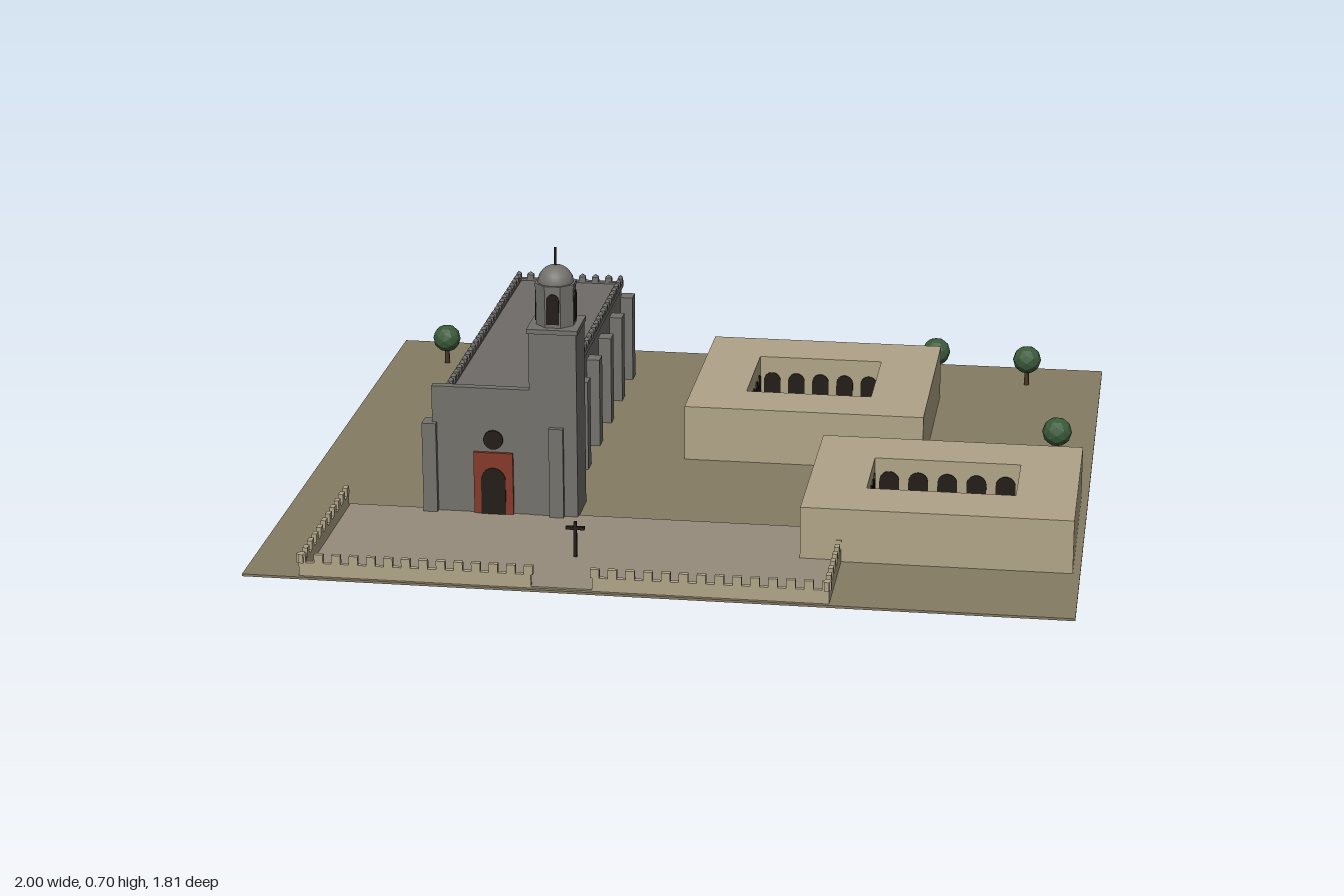
import * as THREE from 'three';
import { mergeGeometries } from 'three/addons/utils/BufferGeometryUtils.js';

const mat = (color, flatShading = false) => new THREE.MeshStandardMaterial({ color, flatShading });
const stone = mat(0x74716c), roofGrey = mat(0x6e6b68), sand = mat(0xb0a488), earth = mat(0x857b63);
const paving = mat(0x978c7b), red = mat(0x84382a), dark = mat(0x221c17), leaf = mat(0x3a5a3a, true), bark = mat(0x4a3624);

export function createModel() {
  const model = new THREE.Group();

  const add = (name, geometry, material, parent = model) => {
    const mesh = new THREE.Mesh(geometry, material);
    mesh.name = name;
    parent.add(mesh);
    return mesh;
  };
  // Box geometry given by its extents
  const block = (x0, x1, y0, y1, z0, z1) =>
    new THREE.BoxGeometry(x1 - x0, y1 - y0, z1 - z0).translate((x0 + x1) / 2, (y0 + y1) / 2, (z0 + z1) / 2);
  // Thin round-headed panel standing at a point, turned to face a direction
  const arch = (w, h, x, y, z, turn = 0, depth = 0.006) => {
    const s = new THREE.Shape();
    s.moveTo(-w / 2, 0).lineTo(w / 2, 0).lineTo(w / 2, h - w / 2);
    s.absarc(0, h - w / 2, w / 2, 0, Math.PI, false);
    s.closePath();
    return new THREE.ExtrudeGeometry(s, { depth, bevelEnabled: false, curveSegments: 8 })
      .translate(0, 0, -depth / 2).rotateY(turn).translate(x, y, z);
  };
  // Evenly spaced merlons along a straight line
  const merlons = (x0, z0, x1, z1, y, step, w, h, d, pointed = false) => {
    const list = [];
    const n = Math.round(Math.hypot(x1 - x0, z1 - z0) / step);
    const turn = -Math.atan2(z1 - z0, x1 - x0);
    for (let i = 0; i <= n; i++) {
      const t = i / n, x = x0 + (x1 - x0) * t, z = z0 + (z1 - z0) * t;
      const body = pointed ? h * 0.6 : h;
      list.push(new THREE.BoxGeometry(w, body, d).rotateY(turn).translate(x, y + body / 2, z));
      if (pointed) {
        list.push(new THREE.ConeGeometry(0.707, h - body, 4).rotateY(Math.PI / 4).scale(w, 1, d)
          .rotateY(turn).translate(x, y + (h + body) / 2, z));
      }
    }
    return list;
  };

  // Ground and forecourt paving
  add('ground', block(-1, 1, 0, 0.006, -0.91, 0.9), earth);
  add('forecourtPaving', block(-0.86, 0.42, 0.004, 0.01, 0.41, 0.89), paving);

  // Forecourt wall with a gateway in the front run
  const wall = new THREE.Group();
  wall.name = 'forecourtWall';
  model.add(wall);
  const runs = [[-0.855, 0.885, -0.3, 0.885], [-0.14, 0.885, 0.415, 0.885],
    [-0.855, 0.43, -0.855, 0.885], [0.415, 0.43, 0.415, 0.885]];
  for (const [x0, z0, x1, z1] of runs) {
    add('wallRun', block(x0 - 0.006, x1 + 0.006, 0, 0.04, z0 - 0.006, z1 + 0.006), sand, wall);
    add('wallMerlons', mergeGeometries(merlons(x0, z0, x1, z1, 0.04, 0.044, 0.022, 0.022, 0.012)), sand, wall);
  }

  // Church nave, roof and crenellated parapet
  const church = new THREE.Group();
  church.name = 'church';
  model.add(church);
  add('nave', block(-0.62, -0.33, 0, 0.275, -0.675, 0.41), stone, church);
  add('naveRoof', block(-0.61, -0.34, 0.275, 0.28, -0.665, 0.4), roofGrey, church);
  add('parapet', mergeGeometries([
    block(-0.625, -0.61, 0.27, 0.285, -0.68, 0.41), block(-0.34, -0.325, 0.27, 0.285, -0.68, 0.41),
    block(-0.61, -0.34, 0.27, 0.285, -0.68, -0.665)]), stone, church);
  add('parapetMerlons', mergeGeometries([
    ...merlons(-0.618, -0.672, -0.618, 0.39, 0.285, 0.036, 0.018, 0.02, 0.013, true),
    ...merlons(-0.332, -0.672, -0.332, 0.28, 0.285, 0.036, 0.018, 0.02, 0.013, true),
    ...merlons(-0.585, -0.672, -0.365, -0.672, 0.285, 0.036, 0.018, 0.02, 0.013, true)]), stone, church);

  // Buttresses on both flanks with a window in each bay
  const bay = 0.182;
  const buttresses = [], windows = [];
  for (const side of [-1, 1]) {
    for (let i = 0; i < 7; i++) {
      const x = -0.475 + side * 0.161, z = -0.677 + i * bay;
      buttresses.push(block(x - 0.018, x + 0.018, 0, 0.245, z - 0.022, z + 0.022));
      if (i < 6) windows.push(arch(0.024, 0.06, -0.475 + side * 0.146, 0.15, z + bay / 2, side * Math.PI / 2));
    }
  }
  add('buttresses', mergeGeometries(buttresses), stone, church);
  add('naveWindows', mergeGeometries(windows), dark, church);

  // Facade with portal and round window
  add('facade', block(-0.63, -0.32, 0, 0.34, 0.4, 0.422), stone, church);
  add('portalSurround', block(-0.525, -0.425, 0.006, 0.172, 0.42, 0.43), red, church);
  add('portalDoor', arch(0.062, 0.122, -0.475, 0.01, 0.43), dark, church);
  add('roundWindow', new THREE.CylinderGeometry(0.025, 0.025, 0.008, 24).rotateX(Math.PI / 2)
    .translate(-0.475, 0.205, 0.423), dark, church);

  // Bell tower
  const tower = new THREE.Group();
  tower.name = 'bellTower';
  tower.position.set(-0.322, 0, 0.363);
  church.add(tower);
  add('towerShaft', block(-0.06, 0.06, 0, 0.49, -0.061, 0.061), stone, tower);
  add('towerCornice', block(-0.064, 0.064, 0.489, 0.501, -0.065, 0.065), stone, tower);
  const octagon = (r, y0, y1) => new THREE.CylinderGeometry(r, r, y1 - y0, 8, 1)
    .rotateY(Math.PI / 8).translate(0, (y0 + y1) / 2, 0);
  add('belfry', octagon(0.051, 0.5, 0.602), mat(0x74716c, true), tower);
  add('belfryCornice', octagon(0.053, 0.598, 0.608), mat(0x74716c, true), tower);
  const openings = [0, 1, 2, 3].map(i => arch(0.032, 0.078, 0, 0.51, 0.047, 0).rotateY(i * Math.PI / 2));
  add('belfryOpenings', mergeGeometries(openings), dark, tower);
  add('dome', new THREE.SphereGeometry(0.045, 24, 8, 0, Math.PI * 2, 0, Math.PI / 2)
    .translate(0, 0.606, 0), stone, tower);
  add('finial', new THREE.CylinderGeometry(0.003, 0.003, 0.048, 8).translate(0, 0.672, 0), dark, tower);

  // Courtyard buildings: hollow block with arcades around the court
  const courtyardBuilding = (name, [x0, x1, z0, z1], [a0, a1, c0, c1], height) => {
    const group = new THREE.Group();
    group.name = name;
    model.add(group);
    const ring = (s, l, r, n, f) => s.moveTo(l, -f).lineTo(r, -f).lineTo(r, -n).lineTo(l, -n).closePath();
    const plan = new THREE.Shape(), hole = new THREE.Path();
    ring(plan, x0, x1, z0, z1);
    ring(hole, a0, a1, c0, c1);
    plan.holes.push(hole);
    add('walls', new THREE.ExtrudeGeometry(plan, { depth: height, bevelEnabled: false })
      .rotateX(-Math.PI / 2), sand, group);
    const panels = [], n = 5;
    const w = (a1 - a0) / n, d = (c1 - c0) / n;
    for (let i = 0; i < n; i++) {
      const x = a0 + w * (i + 0.5), z = c0 + d * (i + 0.5);
      panels.push(arch(w * 0.68, 0.1, x, 0.008, c0, 0), arch(w * 0.68, 0.1, x, 0.008, c1, Math.PI));
      panels.push(arch(d * 0.68, 0.1, a0, 0.008, z, Math.PI / 2), arch(d * 0.68, 0.1, a1, 0.008, z, -Math.PI / 2));
    }
    add('arcadeOpenings', mergeGeometries(panels), dark, group);
  };
  courtyardBuilding('rearCloister', [-0.06, 0.565, -0.63, -0.04], [0.085, 0.415, -0.475, -0.185], 0.152);
  courtyardBuilding('frontCloister', [0.32, 0.982, 0.1, 0.62], [0.467, 0.833, 0.25, 0.467], 0.142);

  // Forecourt cross
  const cross = new THREE.Group();
  cross.name = 'forecourtCross';
  cross.position.set(-0.222, 0, 0.685);
  model.add(cross);
  add('crossPost', block(-0.004, 0.004, 0.005, 0.1, -0.004, 0.004), dark, cross);
  add('crossArm', block(-0.023, 0.023, 0.08, 0.088, -0.004, 0.004), dark, cross);

  // Trees
  for (const [x, z] of [[-0.84, -0.73], [0.54, -0.803], [0.795, -0.767], [0.905, -0.185]]) {
    const tree = new THREE.Group();
    tree.name = 'tree';
    tree.position.set(x, 0, z);
    model.add(tree);
    add('trunk', new THREE.CylinderGeometry(0.006, 0.008, 0.055, 6).translate(0, 0.03, 0), bark, tree);
    add('crown', new THREE.IcosahedronGeometry(0.039, 1).translate(0, 0.079, 0), leaf, tree);
  }
  return model;
}
